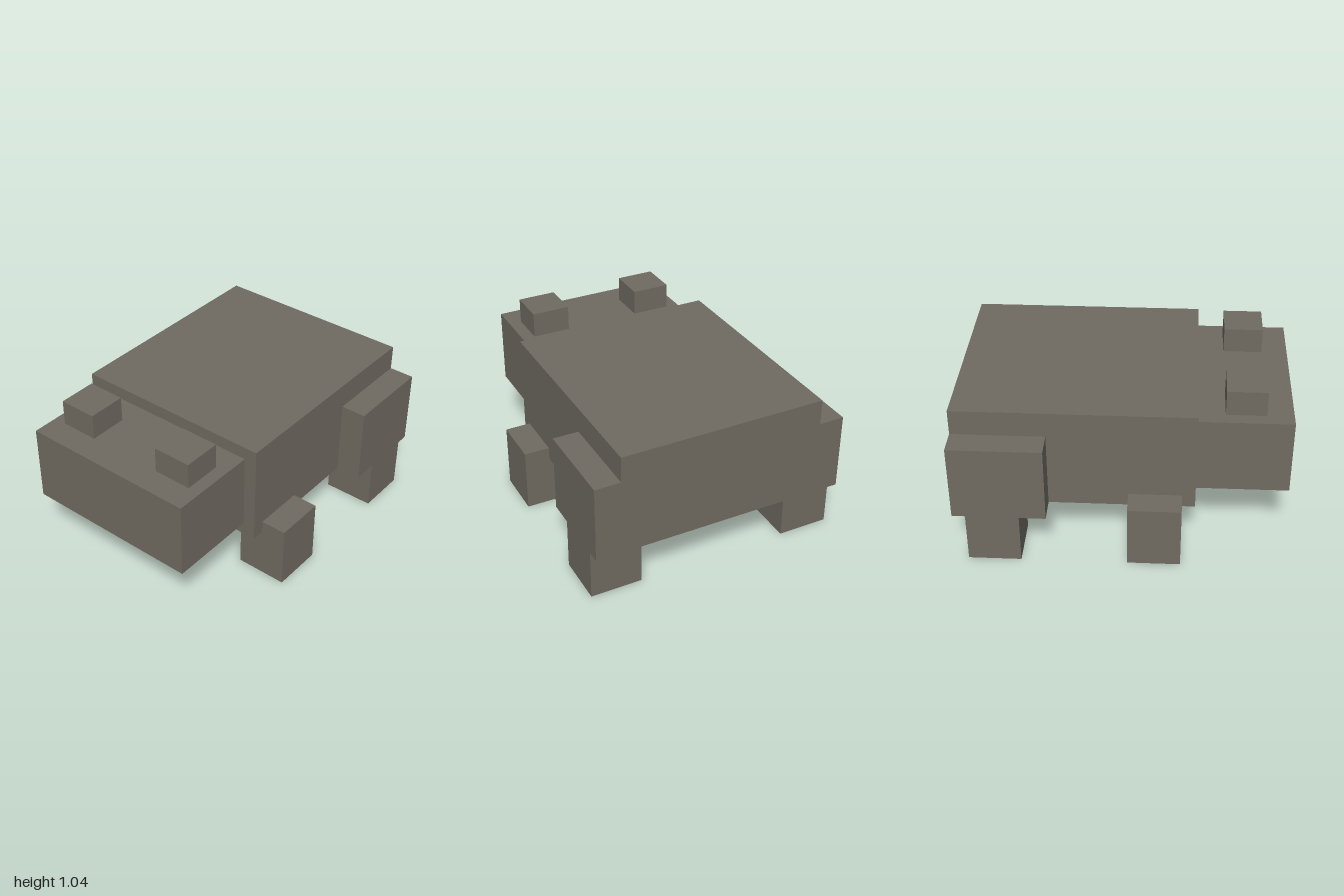
import * as THREE from 'three';

export function createModel() {
  const model = new THREE.Group();
  model.name = 'blockFrog';

  const skin = new THREE.MeshStandardMaterial({ color: 0x706b61 });
  skin.name = 'greyBrownSkin';

  // Adds a box spanning the given [min, max] ranges
  function addBox(name, [x0, x1], [y0, y1], [z0, z1]) {
    const mesh = new THREE.Mesh(new THREE.BoxGeometry(x1 - x0, y1 - y0, z1 - z0), skin);
    mesh.position.set((x0 + x1) / 2, (y0 + y1) / 2, (z0 + z1) / 2);
    mesh.name = name;
    model.add(mesh);
  }

  // Adds a box on the left (+x) and its mirror on the right
  function addPair(name, [x0, x1], y, z) {
    addBox('left' + name, [x0, x1], y, z);
    addBox('right' + name, [-x1, -x0], y, z);
  }

  // Trunk and head
  addBox('body', [-0.64, 0.64], [0.32, 0.96], [-1, 0.44]);
  addBox('head', [-0.56, 0.56], [0.4, 0.88], [0.44, 1]);
  addBox('lowerJaw', [-0.4, 0.4], [0.32, 0.4], [0.44, 0.92]);
  addPair('Eye', [0.24, 0.48], [0.88, 1.04], [0.6, 0.84]);

  // Limbs: front legs rise beside the body, back legs stand under the thighs
  addPair('FrontLeg', [0.48, 0.8], [0, 0.4], [0.04, 0.36]);
  addPair('Thigh', [0.64, 0.8], [0.32, 0.8], [-1, -0.44]);
  addPair('BackLeg', [0.48, 0.8], [0, 0.32], [-0.92, -0.6]);

  return model;
}
